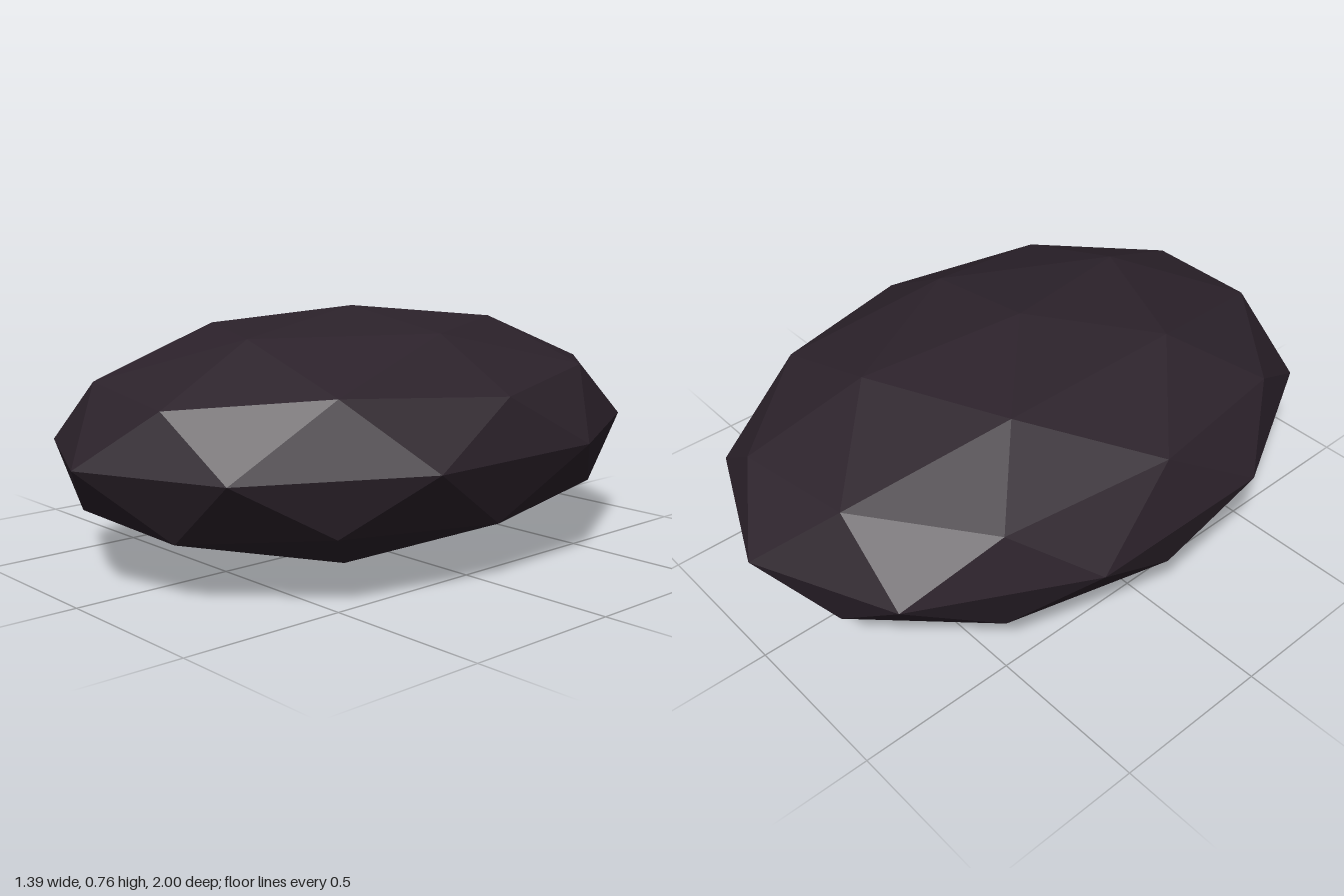
import * as THREE from 'three';

export function createModel() {
  const group = new THREE.Group();
  group.name = 'stone';

  const darkStone = new THREE.MeshStandardMaterial({ color: 0x2c222b });
  darkStone.name = 'darkStone';
  darkStone.flatShading = true;

  // Faceted pebble: subdivided icosahedron turned to stand on a corner, then flattened
  const halfSize = new THREE.Vector3(0.73, 0.378, 1);
  const golden = (1 + Math.sqrt(5)) / 2;
  const geometry = new THREE.IcosahedronGeometry(1, 1);
  geometry.rotateZ(-Math.atan(1 / golden));
  geometry.scale(halfSize.x, halfSize.y, halfSize.z);
  geometry.translate(0, halfSize.y, 0);
  geometry.computeVertexNormals(); // unshared corners give flat facets

  const pebble = new THREE.Mesh(geometry, darkStone);
  pebble.name = 'pebble';
  group.add(pebble);
  return group;
}
